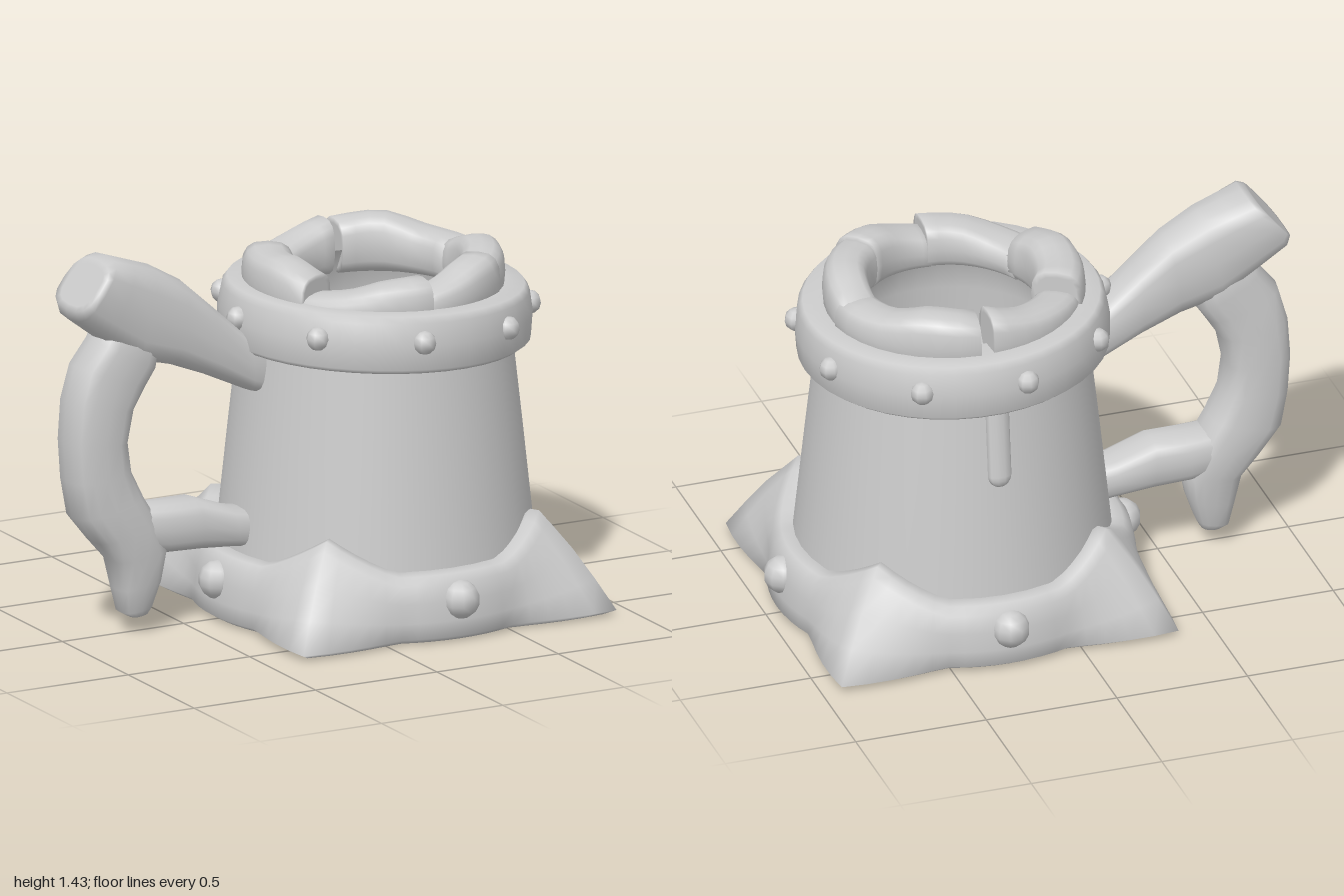
import * as THREE from 'three';

const stone = new THREE.MeshStandardMaterial({ color: 0xcccccc, side: THREE.DoubleSide });
stone.name = 'light grey';

const V = (x, y, z) => new THREE.Vector3(x, y, z);

// Smooth skin over closed loops of equal length; capped ends are drawn in to a point
function loft(loops, capped) {
  const all = loops.slice();
  if (capped) {
    const shrink = (loop, k) => {
      const c = loop.reduce((s, p) => s.add(p), V(0, 0, 0)).divideScalar(loop.length);
      return loop.map((p) => c.clone().lerp(p, k));
    };
    const first = loops[0], last = loops[loops.length - 1];
    all.unshift(shrink(first, 0.001), shrink(first, 0.8));
    all.push(shrink(last, 0.8), shrink(last, 0.001));
  }
  const n = all[0].length, index = [];
  for (let i = 0; i < all.length - 1; i++) {
    for (let j = 0; j < n; j++) {
      const k = (j + 1) % n;
      const a = i * n + j, b = i * n + k, d = a + n, c = b + n;
      index.push(a, d, b, b, d, c);
    }
  }
  const g = new THREE.BufferGeometry().setFromPoints(all.flat());
  g.setIndex(index);
  g.computeVertexNormals();
  return g;
}

// Rounded-rectangle section, as unit offsets
const SECTION = Array.from({ length: 16 }, (_, j) => {
  const f = (t) => Math.sign(t) * Math.pow(Math.abs(t), 0.7);
  const a = (j / 16) * Math.PI * 2;
  return [f(Math.cos(a)), f(Math.sin(a))];
});

function add(parent, name, geometry) {
  const m = new THREE.Mesh(geometry, stone);
  m.name = name;
  parent.add(m);
  return m;
}

const lathe = (pts, seg) =>
  new THREE.LatheGeometry(pts.map(([r, y]) => new THREE.Vector2(r, y)), seg);

// Bar in the handle plane: each row is [edge A x, y, edge B x, y, half width]
function bar(rows) {
  return loft(rows.map(([ax, ay, bx, by, w]) => SECTION.map(([u, v]) =>
    V((ax + bx) / 2 + u * (ax - bx) / 2, (ay + by) / 2 + u * (ay - by) / 2, v * w))), true);
}

// Four-cornered base: each loop is a round ring pulled out to the corner tips
function baseGeometry() {
  const corner = (a) => {
    const d = Math.abs((((a % 90) + 90) % 90) - 45);
    return Math.pow(Math.max(0, 1 - d / 25), 1.25);
  };
  // [radius, extra radius at corner, height, extra height at corner]
  const rings = [
    [0.5, 0, 0.03, 0], [0.52, 0, 0.012, 0], [0.64, 0.22, 0, 0], [0.672, 0.24, 0.02, 0],
    [0.672, 0.16, 0.08, 0.05], [0.665, 0.08, 0.15, 0.09], [0.65, 0.0, 0.215, 0.125],
    [0.62, 0.0, 0.242, 0.13], [0.575, 0.01, 0.25, 0.125], [0.53, 0, 0.22, 0.1],
  ];
  return loft(rings.map(([r, dr, y, dy]) => Array.from({ length: 72 }, (_, j) => {
    const a = j * 5, c = corner(a), t = THREE.MathUtils.degToRad(a);
    return V((r + dr * c) * Math.cos(t), y + dy * c, (r + dr * c) * Math.sin(t));
  })));
}

// Rounded lump along an arc of the rim; tops are heights spread along the arc
function rimLump(from, to, tops, wide) {
  const steps = 8, loops = [];
  for (let i = 0; i <= steps; i++) {
    const f = i / steps, s = f * (tops.length - 1);
    const k = Math.min(Math.floor(s), tops.length - 2);
    const top = THREE.MathUtils.lerp(tops[k], tops[k + 1], s - k);
    const t = THREE.MathUtils.degToRad(from + (to - from) * f);
    const mid = (top + 1.12) / 2, half = (top - 1.12) / 2;
    loops.push(SECTION.map(([u, v]) => {
      const r = 0.388 + u * wide;
      return V(r * Math.cos(t), mid - v * half, r * Math.sin(t));
    }));
  }
  return loft(loops, true);
}

export function createModel() {
  const root = new THREE.Group();
  root.name = 'tankard';
  const mug = new THREE.Group();
  mug.name = 'mug';
  mug.position.set(0.283, 0, 0.01);
  root.add(mug);

  // Tapered body, open at the top, with floor and underside
  add(mug, 'body', lathe([[0.592, 0.1], [0.575, 0.27], [0.535, 0.65], [0.49, 1.06]], 40));
  add(mug, 'innerWall', lathe([[0.31, 1.22], [0.36, 1.14], [0.4, 1.0], [0.46, 0.08]], 32));
  add(mug, 'floor', new THREE.CircleGeometry(0.47, 32)).rotation.x = -Math.PI / 2;
  mug.children[2].position.y = 0.08;
  const underside = add(mug, 'underside', new THREE.CircleGeometry(0.52, 40));
  underside.rotation.x = Math.PI / 2;
  underside.position.y = 0.03;

  // Spiked base with a stud on each side
  add(mug, 'base', baseGeometry());
  for (let i = 0; i < 4; i++) {
    const t = (i * Math.PI) / 2;
    const s = add(mug, 'baseStud', new THREE.SphereGeometry(0.072, 10, 7));
    s.position.set(0.648 * Math.cos(t), 0.15, 0.648 * Math.sin(t));
  }

  // Slightly tilted band with nine studs
  const band = new THREE.Group();
  band.name = 'bandGroup';
  band.position.y = 1.09;
  band.rotation.z = -0.035;
  mug.add(band);
  add(band, 'band', lathe([[0.47, -0.1], [0.545, -0.108], [0.568, -0.09], [0.572, 0],
    [0.558, 0.08], [0.54, 0.104], [0.47, 0.108], [0.38, 0.1]], 40));
  for (let i = 0; i < 9; i++) {
    const t = Math.PI + (i * Math.PI * 2) / 9;
    const s = add(band, 'bandStud', new THREE.SphereGeometry(0.044, 8, 6));
    s.position.set(0.565 * Math.cos(t), 0.012, 0.565 * Math.sin(t));
  }

  // Uneven rim lumps
  const lumps = [
    [152, 212, [1.3, 1.34, 1.33, 1.33], 0.096],
    [208, 270, [1.25, 1.27, 1.29, 1.33], 0.086],
    [276, 352, [1.32, 1.34, 1.29, 1.28], 0.09],
    [348, 412, [1.28, 1.33, 1.33, 1.31], 0.084],
    [46, 95, [1.33, 1.32, 1.28, 1.25], 0.088],
    [92, 156, [1.3, 1.29, 1.25, 1.23], 0.092],
  ];
  for (const l of lumps) add(mug, 'rimLump', rimLump(...l));

  // Drip running down the back
  const drip = add(mug, 'drip', new THREE.CapsuleGeometry(0.045, 0.3, 4, 10));
  drip.scale.z = 0.6;
  drip.position.set(0, 0.87, -0.512);
  drip.rotation.x = 0.11;

  // Handle: upper arm, curved grip with tail, lower arm
  const handle = new THREE.Group();
  handle.name = 'handle';
  root.add(handle);
  add(handle, 'upperArm', bar([
    [-0.14, 1.02, -0.14, 0.82, 0.09], [-0.27, 1.07, -0.25, 0.85, 0.1],
    [-0.41, 1.2, -0.42, 0.93, 0.105], [-0.52, 1.3, -0.57, 0.99, 0.11],
    [-0.65, 1.375, -0.73, 1.03, 0.12], [-0.74, 1.405, -0.87, 1.13, 0.13],
    [-0.82, 1.43, -0.975, 1.21, 0.14], [-0.85, 1.415, -0.985, 1.25, 0.135],
  ]));
  add(handle, 'grip', bar([
    [-0.84, 1.2, -0.62, 1.07, 0.1], [-0.88, 1.12, -0.64, 0.99, 0.105],
    [-0.95, 1.03, -0.68, 0.93, 0.105], [-0.985, 0.9, -0.73, 0.85, 0.11],
    [-0.995, 0.75, -0.755, 0.73, 0.11], [-0.985, 0.6, -0.74, 0.62, 0.11],
    [-0.96, 0.46, -0.69, 0.52, 0.11], [-0.88, 0.36, -0.63, 0.42, 0.11],
    [-0.81, 0.28, -0.59, 0.31, 0.1], [-0.785, 0.17, -0.61, 0.2, 0.085],
    [-0.765, 0.08, -0.645, 0.1, 0.065], [-0.73, 0.06, -0.66, 0.07, 0.045],
  ]));
  add(handle, 'lowerArm', bar([
    [-0.2, 0.4, -0.2, 0.26, 0.09], [-0.32, 0.42, -0.32, 0.275, 0.095],
    [-0.47, 0.475, -0.46, 0.285, 0.1], [-0.6, 0.475, -0.6, 0.29, 0.1],
    [-0.7, 0.48, -0.72, 0.31, 0.095], [-0.78, 0.46, -0.78, 0.36, 0.08],
  ]));
  return root;
}
